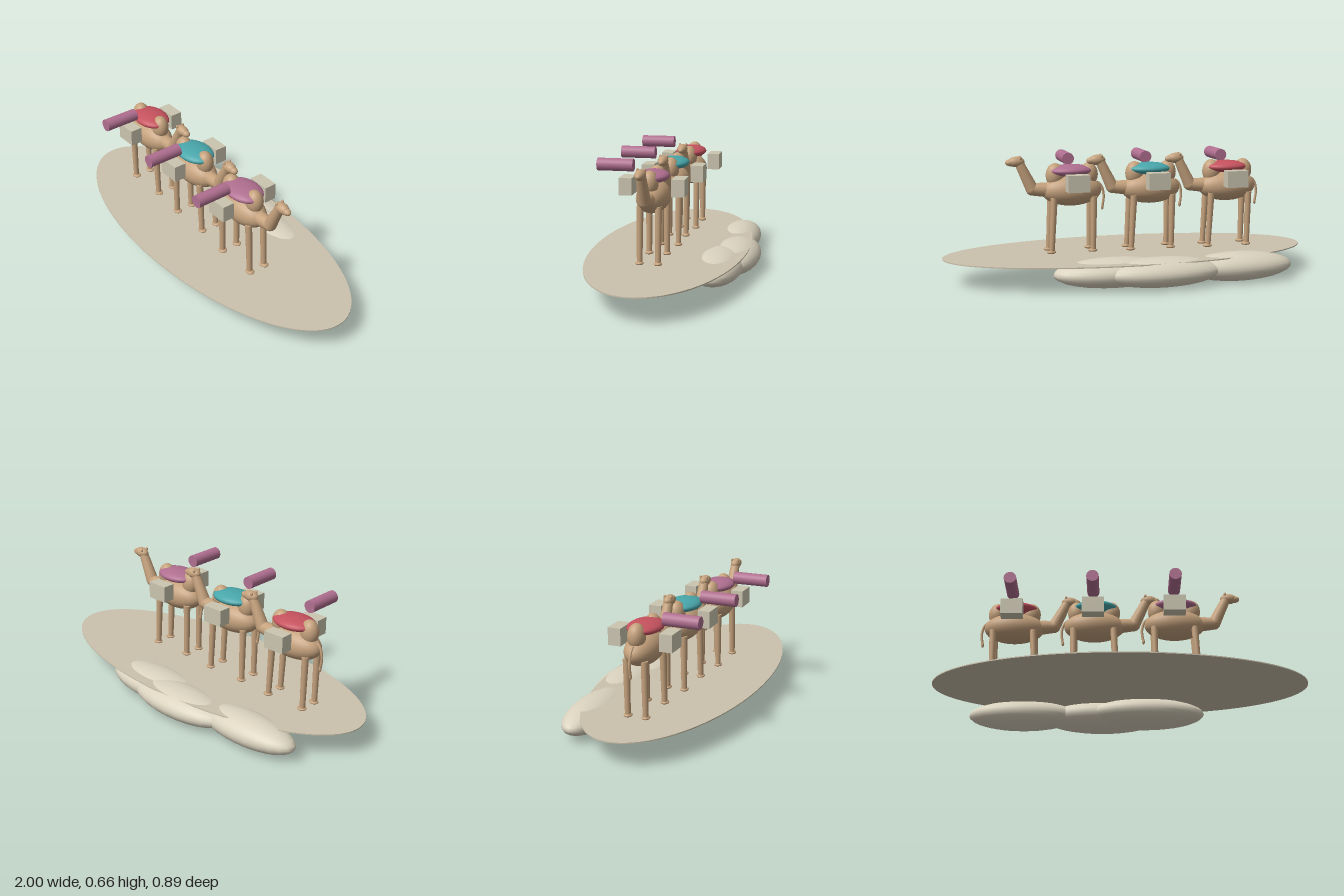
import * as THREE from 'three';

const mat = (name, color) => {
  const m = new THREE.MeshStandardMaterial({ color });
  m.name = name;
  return m;
};

export function createModel() {
  const sand = mat('sand', 0xcbc2ac);
  const dune = mat('dune', 0xdad2be);
  const hide = mat('camel hide', 0xc4a17c);
  const crateMat = mat('crate', 0xcbc5b0);
  const red = mat('red cloth', 0xc5525e);
  const teal = mat('teal cloth', 0x48a6aa);
  const mauve = mat('mauve cloth', 0xb06f90);

  const add = (parent, name, geo, material, x = 0, y = 0, z = 0) => {
    const m = new THREE.Mesh(geo, material);
    m.name = name;
    m.position.set(x, y, z);
    parent.add(m);
    return m;
  };
  const ball = (rx, ry, rz, w = 28, h = 20) => new THREE.SphereGeometry(1, w, h).scale(rx, ry, rz);

  // Cylinder running between two points, r1 at the first and r2 at the second
  const limb = (parent, name, a, b, r1, r2) => {
    const p = new THREE.Vector3(...a), q = new THREE.Vector3(...b);
    const d = q.clone().sub(p);
    const m = add(parent, name, new THREE.CylinderGeometry(r2, r1, d.length(), 18), hide);
    m.position.copy(p).add(q).multiplyScalar(0.5);
    m.quaternion.setFromUnitVectors(new THREE.Vector3(0, 1, 0), d.normalize());
  };

  // One loaded camel walking towards +x
  const camel = (cloth) => {
    const g = new THREE.Group();
    add(g, 'body', ball(0.165, 0.083, 0.086), hide, 0, 0.472, 0);
    for (const x of [-0.095, 0.09]) add(g, 'hump', ball(0.05, 0.065, 0.045), hide, x, 0.556, 0);

    // Bent neck
    limb(g, 'lowerNeck', [0.11, 0.478, 0], [0.215, 0.484, 0], 0.042, 0.033);
    add(g, 'neckBend', ball(0.034, 0.034, 0.034), hide, 0.215, 0.485, 0);
    limb(g, 'upperNeck', [0.215, 0.485, 0], [0.28, 0.622, 0], 0.034, 0.025);

    // Head, muzzle and ears
    add(g, 'head', ball(0.045, 0.028, 0.028), hide, 0.298, 0.634, 0);
    add(g, 'muzzle', ball(0.03, 0.019, 0.02), hide, 0.328, 0.631, 0);
    for (const s of [-1, 1]) add(g, 'ear', ball(0.008, 0.011, 0.007, 12, 8), hide, 0.278, 0.654, s * 0.018);

    // Legs and feet
    for (const s of [-1, 1]) {
      for (const [top, foot] of [[-0.112, -0.107], [0.105, 0.121]]) {
        limb(g, 'leg', [foot, 0.14, s * 0.048], [top, 0.44, s * 0.048], 0.0145, 0.0185);
        add(g, 'foot', ball(0.026, 0.01, 0.022, 18, 10), hide, foot + 0.003, 0.147, s * 0.048);
      }
    }

    // Tail
    const tail = new THREE.CatmullRomCurve3([[-0.14, 0.515], [-0.165, 0.49], [-0.178, 0.44], [-0.17, 0.37]]
      .map(([x, y]) => new THREE.Vector3(x, y, 0)));
    add(g, 'tail', new THREE.TubeGeometry(tail, 16, 0.007, 8), hide);
    add(g, 'tailTip', ball(0.008, 0.016, 0.008, 12, 8), hide, -0.17, 0.375, 0);

    // Saddle cloth, side crates and bedroll
    add(g, 'saddleCloth', ball(0.122, 0.033, 0.088), cloth, 0.006, 0.58, 0.003);
    for (const s of [-1, 1]) {
      add(g, 'crate', new THREE.BoxGeometry(0.118, 0.09, 0.068), crateMat, -0.005, 0.526, s * 0.137);
    }
    add(g, 'bedroll', new THREE.CylinderGeometry(0.033, 0.033, 0.19, 24).rotateX(Math.PI / 2), mauve, -0.005, 0.63, 0.2);
    return g;
  };

  const model = new THREE.Group();
  model.name = 'camelCaravan';

  // Oval desert floor
  add(model, 'desertFloor', new THREE.CylinderGeometry(1, 1, 0.006, 96).scale(1, 1, 0.42), sand, 0, 0.137, 0.025);

  // Low dunes: x, z, half length, half depth
  for (const [x, z, rx, rz] of [[-0.537, -0.275, 0.303, 0.118], [-0.1, -0.31, 0.33, 0.135], [0.14, -0.251, 0.325, 0.135]]) {
    add(model, 'dune', ball(rx, 0.078, rz, 24, 16), dune, x, 0.079, z);
  }

  // Caravan of three
  [red, teal, mauve].forEach((cloth, i) => {
    const c = camel(cloth);
    c.name = 'camel' + (i + 1);
    c.position.set(-0.575 + i * 0.436, 0, 0.025 + i * 0.02);
    model.add(c);
  });
  return model;
}
